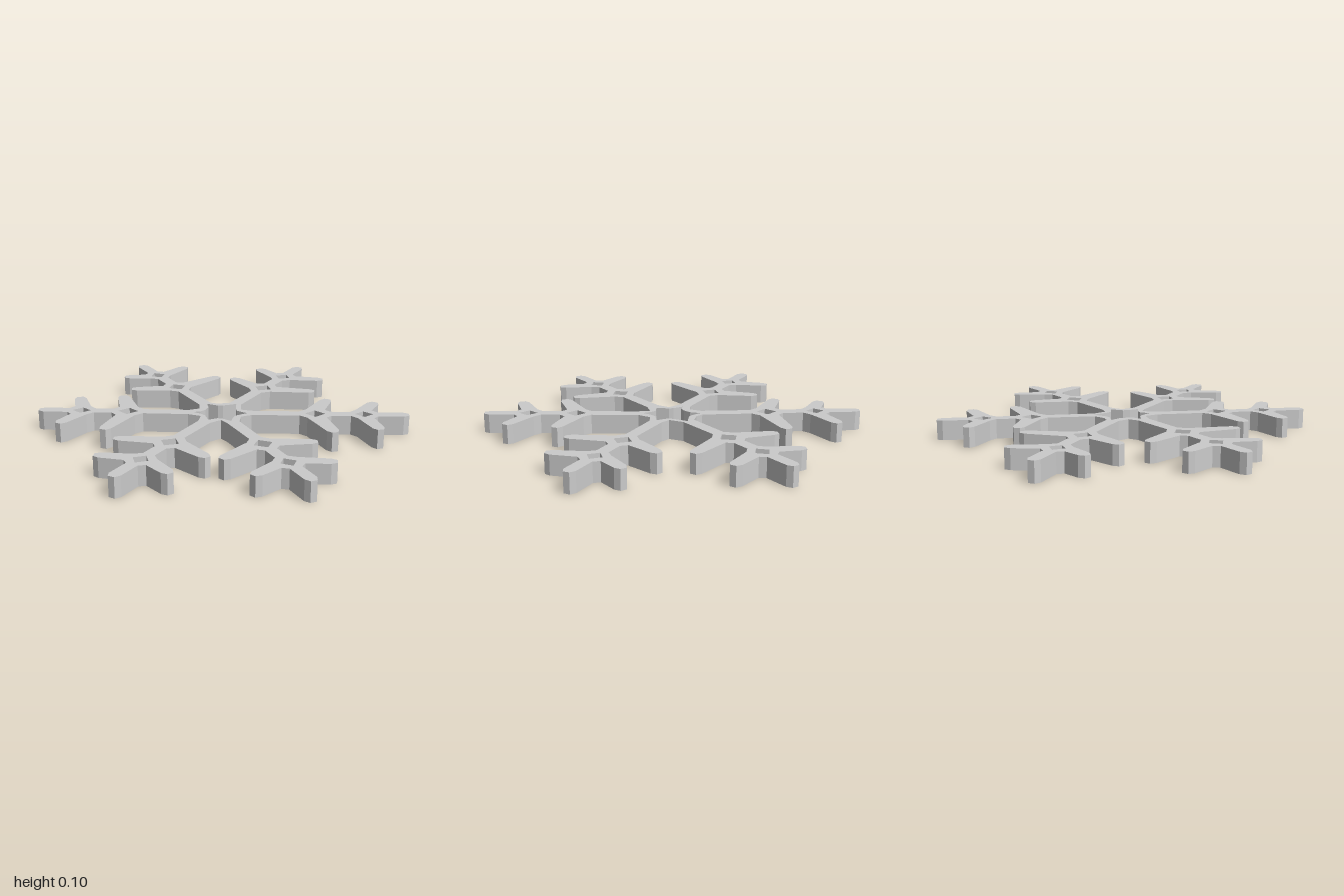
import * as THREE from 'three';

const HEIGHT = 0.105;

// Each arm: tip, right inner, right outer, left outer and left inner twig tips,
// counter-clockwise, in plan coordinates (x, -z).
const ARMS = [
  [[0.89, 0.485], [0.66, 0.035], [0.845, 0.19], [0.655, 0.59], [0.405, 0.505]],
  [[-0.01, 1.0], [0.28, 0.6], [0.225, 0.835], [-0.215, 0.84], [-0.26, 0.585]],
  [[-0.89, 0.53], [-0.345, 0.57], [-0.63, 0.645], [-0.835, 0.275], [-0.655, 0.1]],
  [[-0.875, -0.455], [-0.625, -0.025], [-0.82, -0.17], [-0.645, -0.575], [-0.385, -0.53]],
  [[0.02, -0.995], [-0.262, -0.6], [-0.21, -0.825], [0.23, -0.83], [0.275, -0.58]],
  [[0.825, -0.575], [0.34, -0.565], [0.56, -0.66], [0.825, -0.315], [0.635, -0.125]],
];
// Crotch between each arm and the next one
const CROTCHES = [[0.075, 0.1], [-0.085, 0.125], [-0.13, 0], [-0.06, -0.1], [0.065, -0.1], [0.13, 0]];
// Star-shaped opening of the hub
const HUB = [
  [0.13, 0.065], [0.065, 0.072], [0.045, 0.095], [0.005, 0.17], [-0.045, 0.11], [-0.07, 0.095],
  [-0.135, 0.09], [-0.1, 0.045], [-0.09, 0], [-0.1, -0.04], [-0.13, -0.065], [-0.07, -0.07],
  [-0.045, -0.08], [0.005, -0.13], [0.035, -0.085], [0.06, -0.078], [0.12, -0.085], [0.102, -0.04], [0.097, 0],
];

const vec = ([x, y]) => new THREE.Vector2(x, y);

// Blunt chamfered end of a limb, counter-clockwise
function bluntEnd(base, tip, halfWidth = 0.033) {
  const d = tip.clone().sub(base).normalize();
  const right = new THREE.Vector2(d.y, -d.x);
  const at = (back, side) => tip.clone().addScaledVector(d, -back).addScaledVector(right, side);
  return [at(0.03, halfWidth), at(0, 0.017), at(0, -0.017), at(0.03, -halfWidth)];
}

// Outline points and diamond holes of one arm
function arm(points) {
  const [tip, r1, r2, l2, l1] = points.map(vec);
  const len = tip.length();
  const d = tip.clone().normalize();
  const right = new THREE.Vector2(d.y, -d.x);
  const at = (u, v) => d.clone().multiplyScalar(u).addScaledVector(right, v);
  const n1 = 0.505 * len, n2 = 0.763 * len;

  // a pair of chamfered crotches with a twig between them
  const twig = (u, end, side, s) => {
    const below = [at(u - 0.085 * s, 0.033 * side), at(u - 0.045 * s, 0.068 * side)];
    const above = [at(u + 0.057 * s, 0.063 * side), at(u + 0.085 * s, 0.033 * side)];
    const cap = bluntEnd(at(u + 0.006, 0.065 * side), end);
    return side > 0 ? [...below, ...cap, ...above] : [...above.reverse(), ...cap, ...below.reverse()];
  };
  const diamond = (u, a, b) => [at(u + a, 0), at(u, b), at(u - a, 0), at(u, -b)];

  return {
    outline: [
      at(0.17, 0.035),
      ...twig(n1, r1, 1, 1), ...twig(n2, r2, 1, 0.85),
      ...bluntEnd(at(n2, 0), tip),
      ...twig(n2, l2, -1, 0.85), ...twig(n1, l1, -1, 1),
      at(0.17, -0.035),
    ],
    holes: [diamond(n1, 0.054, 0.052), diamond(n2, 0.049, 0.044)],
  };
}

export function createModel() {
  const outline = [];
  const holes = [HUB.map(vec)];
  ARMS.forEach((points, i) => {
    const a = arm(points);
    outline.push(...a.outline, vec(CROTCHES[i]));
    holes.push(...a.holes);
  });

  // One plate, pierced by the hub opening and two diamonds per arm
  const shape = new THREE.Shape(outline);
  shape.holes = holes.map((h) => new THREE.Path(h));
  const geometry = new THREE.ExtrudeGeometry(shape, { depth: HEIGHT, bevelEnabled: false });
  geometry.rotateX(-Math.PI / 2);

  const snowflake = new THREE.Mesh(
    geometry,
    new THREE.MeshStandardMaterial({ color: 0xcccccc, flatShading: true }),
  );
  snowflake.name = 'snowflakePlate';

  const group = new THREE.Group();
  group.name = 'snowflake';
  group.add(snowflake);
  return group;
}
